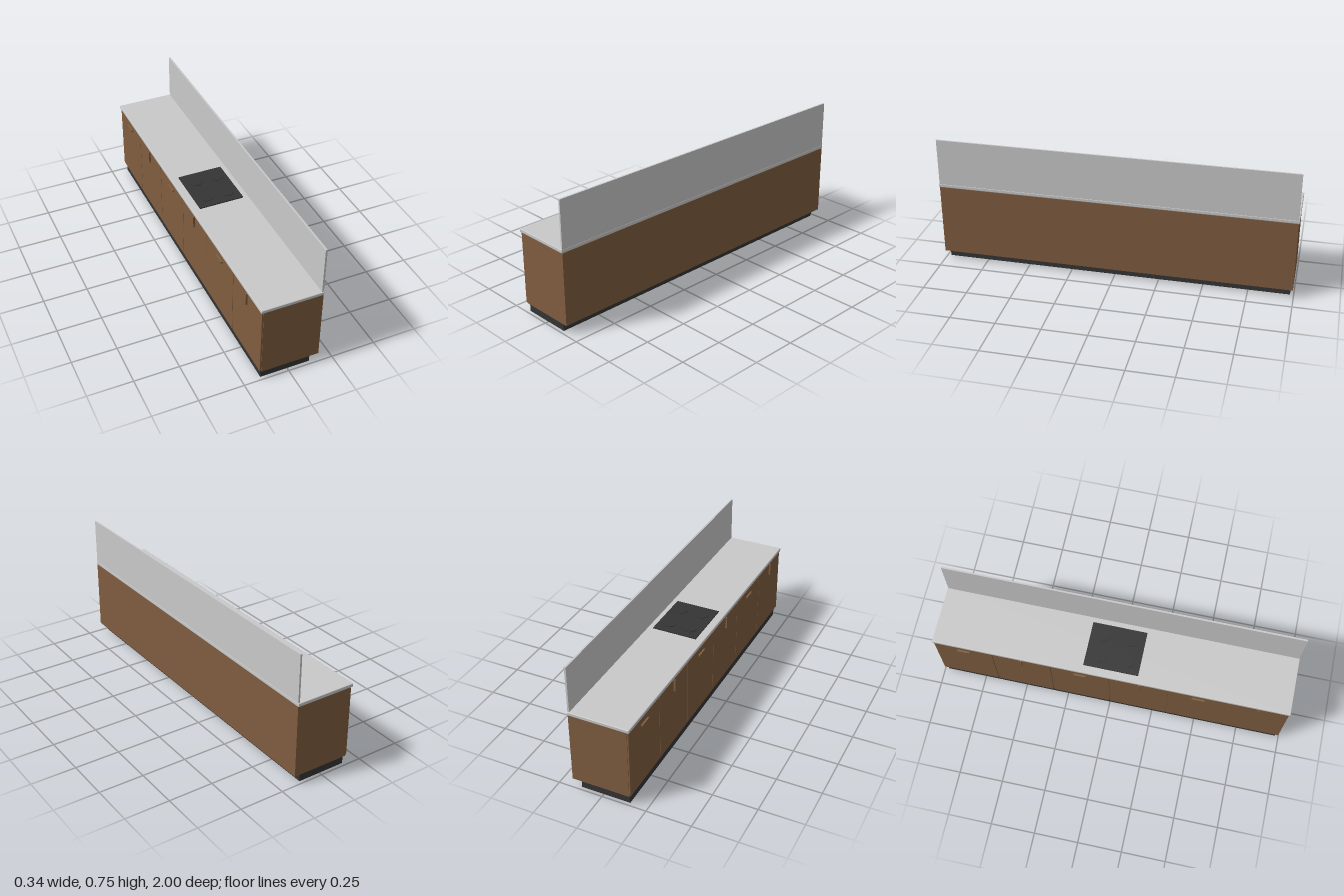
import * as THREE from 'three';
import { RoundedBoxGeometry } from 'three/addons/geometries/RoundedBoxGeometry.js';

const material = (name, color) => {
  const m = new THREE.MeshStandardMaterial({ color });
  m.name = name;
  return m;
};

export function createModel() {
  const wood = material('brown wood', 0x7f5d3f);
  const stone = material('light grey worktop', 0xc9c9c9);
  const dark = material('charcoal', 0x343434);

  const kitchen = new THREE.Group();
  kitchen.name = 'kitchenCounter';

  const add = (name, geometry, mat, x, y, z, parent = kitchen) => {
    const mesh = new THREE.Mesh(geometry, mat);
    mesh.name = name;
    mesh.position.set(x, y, z);
    parent.add(mesh);
    return mesh;
  };
  // box given by its limits in x and y, and its centre and length in z
  const box = (name, mat, x0, x1, y0, y1, z, length, parent) =>
    add(name, new THREE.BoxGeometry(x1 - x0, y1 - y0, length), mat,
      (x0 + x1) / 2, (y0 + y1) / 2, z, parent);

  // carcass on a recessed plinth
  box('plinth', dark, -0.152, 0.127, 0, 0.053, 0, 1.96);
  box('cabinetBody', wood, -0.155, 0.17, 0.053, 0.46, 0, 1.99);

  // worktop with softened edges, and the splashback behind it
  add('worktop', new RoundedBoxGeometry(0.341, 0.02, 2, 2, 0.004), stone, 0.0005, 0.47, 0);
  box('splashback', stone, 0.16, 0.17, 0.479, 0.746, 0, 1.99);

  // six doors facing -x, with handles alternating horizontal and vertical
  const pitch = 1.99 / 6;
  for (let i = 0; i < 6; i++) {
    const door = new THREE.Group();
    door.name = 'door' + (i + 1);
    door.position.z = (i - 2.5) * pitch;
    kitchen.add(door);
    const panel = new RoundedBoxGeometry(0.009, 0.398, pitch - 0.003, 1, 0.0015);
    add('doorPanel', panel, wood, -0.1595, 0.256, 0, door);
    const upright = i % 2 === 1;
    const h = upright ? 0.07 : 0.009;
    const l = upright ? 0.009 : 0.07;
    box('handle', wood, -0.174, -0.163, 0.415 - h / 2, 0.415 + h / 2, 0, l, door);
  }

  // hob with four round hotplates
  const hob = new THREE.Group();
  hob.name = 'hob';
  kitchen.add(hob);
  box('hobPlate', dark, -0.126, 0.13, 0.479, 0.486, 0, 0.306, hob);
  for (const x of [-0.055, 0.068]) {
    for (const z of [-0.077, 0.077]) {
      add('hotplate', new THREE.CylinderGeometry(0.038, 0.038, 0.004, 32), dark, x, 0.487, z, hob);
    }
  }

  return kitchen;
}
